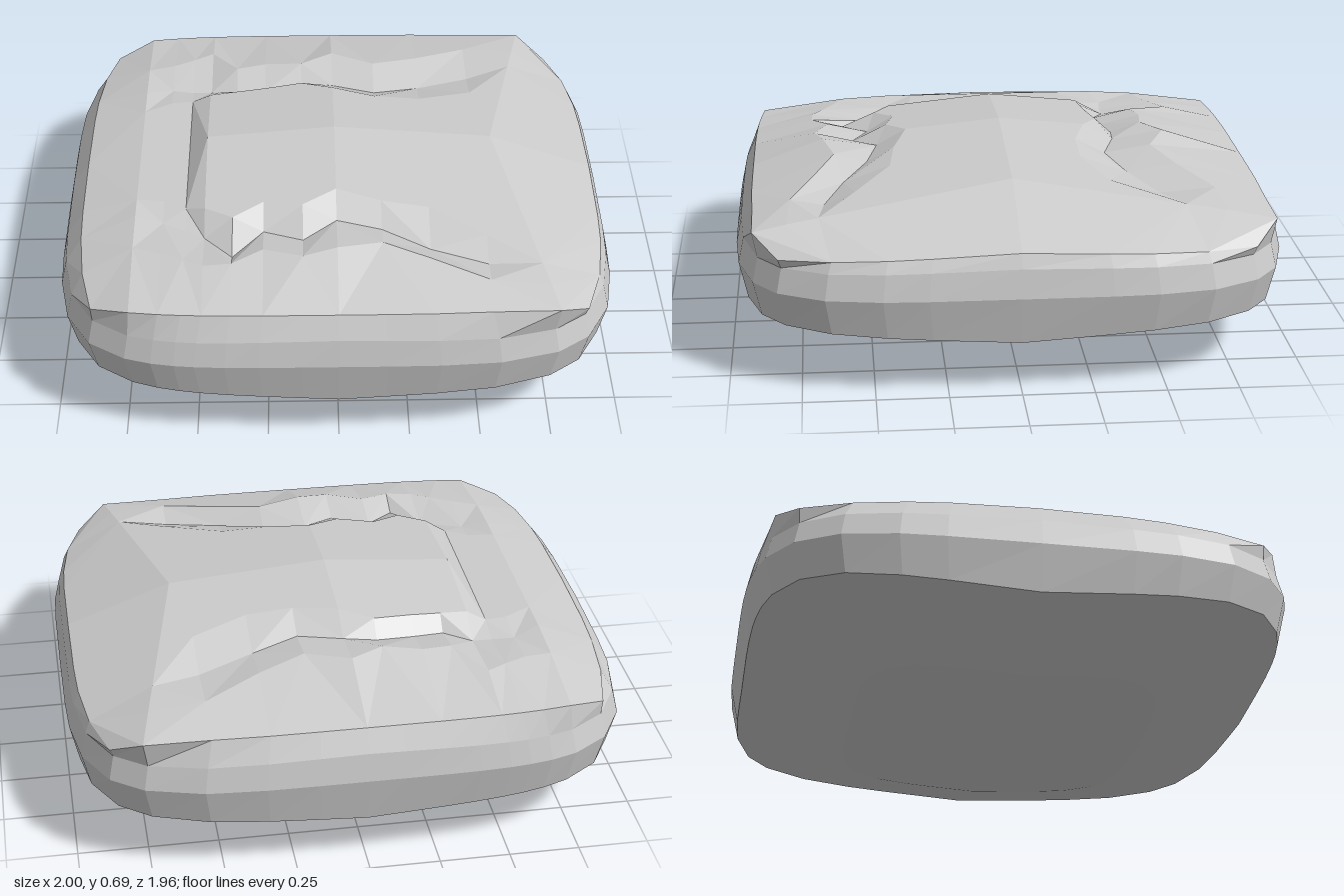
import * as THREE from 'three';

// Height of the uncarved top: a shallow faceted dome with a lower shelf at its right-hand end
const dome = (x, z) => {
  const y = 0.69 - 0.085 * Math.abs(x) - 0.1 * Math.abs(z);
  return x < -0.5 ? Math.min(y, 0.58) : y;
};

// Cross-sections of the cracked top, each at one x:
// x, back bank, back floor, back edge, front edge, front floor, front bank, depth of the cracks
const SECTIONS = [
  [-0.72, -0.6, -0.42, -0.28, 0.3, 0.4, 0.58, 0.0],
  [-0.62, -0.62, -0.46, -0.34, 0.31, 0.42, 0.62, 0.02],
  [-0.54, -0.66, -0.45, -0.35, 0.36, 0.46, 0.66, 0.025],
  [-0.47, -0.7, -0.45, -0.34, 0.4, 0.5, 0.7, 0.05],
  [-0.37, -0.55, -0.4, -0.35, 0.46, 0.61, 0.7, 0.05],
  [-0.26, -0.57, -0.42, -0.36, 0.39, 0.49, 0.64, 0.05],
  [-0.12, -0.55, -0.44, -0.38, 0.42, 0.55, 0.69, 0.05],
  [0.0, -0.62, -0.43, -0.32, 0.35, 0.46, 0.66, 0.05],
  [0.16, -0.55, -0.38, -0.27, 0.4, 0.5, 0.62, 0.045],
  [0.33, -0.62, -0.44, -0.27, 0.42, 0.59, 0.69, 0.045],
  [0.53, -0.73, -0.53, -0.35, 0.55, 0.66, 0.78, 0.035],
  [0.58, -0.74, -0.6, -0.42, 0.55, 0.68, 0.79, 0.0],
];

// Grid of points for the top: columns along x, rows along z
function topGrid() {
  const rows = [-0.82, -0.64, -0.45, -0.3, 0, 0.3, 0.45, 0.64, 0.82];
  const left = rows.map(z => new THREE.Vector3(-0.92 + 0.14 * z ** 4, 0.53 - 0.06 * z * z, z));
  const right = rows.map(z => new THREE.Vector3(0.96 - 0.2 * z ** 4, 0.5 - 0.04 * Math.abs(z), z));
  const inner = SECTIONS.map(([x, bb, bf, be, fe, ff, fb, depth], i) => {
    const rim = 0.92 - 0.1 * x ** 4;
    return [-rim, bb, bf, be, 0, fe, ff, fb, rim].map((z, j) => {
      // the last section bends outward toward the corners
      const px = i === SECTIONS.length - 1 ? x + 0.2 * Math.abs(z) : x;
      const y = j === 0 || j === 8 ? 0.53 : dome(px, z) - (j === 2 || j === 6 ? depth : 0);
      return new THREE.Vector3(px, y, z);
    });
  });
  return [left, ...inner, right];
}

// Rounded-square ring through the direction of each rim point
function ring(rim, scale, y, cornerLift) {
  const n = 4.6;
  return rim.map(p => {
    const s = (Math.abs(p.x) ** n + Math.abs(p.z / 0.98) ** n) ** (-1 / n);
    const x = p.x * s, z = p.z * s;
    return new THREE.Vector3(x * scale, y + cornerLift * Math.abs(x * z), z * scale);
  });
}

function stoneGeometry() {
  const out = [];
  const tri = (...pts) => pts.forEach(p => out.push(p.x, p.y, p.z));
  const grid = topGrid();
  const nc = grid.length, nr = grid[0].length;

  // Cracked top
  for (let i = 0; i < nc - 1; i++) {
    for (let j = 0; j < nr - 1; j++) {
      const a = grid[i][j], b = grid[i][j + 1], c = grid[i + 1][j], d = grid[i + 1][j + 1];
      if ((i + j) % 2) { tri(a, b, c); tri(c, b, d); }
      else { tri(a, b, d); tri(a, d, c); }
    }
  }

  // Rim of the top, counter-clockwise from above
  const rim = [];
  for (let j = 0; j < nr - 1; j++) rim.push(grid[0][j]);
  for (let i = 0; i < nc - 1; i++) rim.push(grid[i][nr - 1]);
  for (let j = nr - 1; j > 0; j--) rim.push(grid[nc - 1][j]);
  for (let i = nc - 1; i > 0; i--) rim.push(grid[i][0]);

  // Rounded sides and shallow underside
  const rings = [
    rim,
    ring(rim, 0.98, 0.45, -0.02),
    ring(rim, 1, 0.35, 0),
    ring(rim, 0.97, 0.18, 0.06),
    ring(rim, 0.56, 0.06, 0.03),
  ];
  const foot = new THREE.Vector3(0, 0, 0);
  rim.forEach((_, k) => {
    const m = (k + 1) % rim.length;
    for (let r = 0; r < rings.length - 1; r++) {
      const up = rings[r], low = rings[r + 1];
      tri(up[k], low[k], up[m]);
      tri(up[m], low[k], low[m]);
    }
    const last = rings[rings.length - 1];
    tri(last[k], foot, last[m]);
  });

  const geometry = new THREE.BufferGeometry();
  geometry.setAttribute('position', new THREE.Float32BufferAttribute(out, 3));
  geometry.computeVertexNormals();
  return geometry;
}

export function createModel() {
  const group = new THREE.Group();
  group.name = 'crackedStone';
  const stone = new THREE.Mesh(
    stoneGeometry(),
    new THREE.MeshStandardMaterial({ color: 0xcccccc, flatShading: true })
  );
  stone.name = 'stone';
  group.add(stone);
  return group;
}
